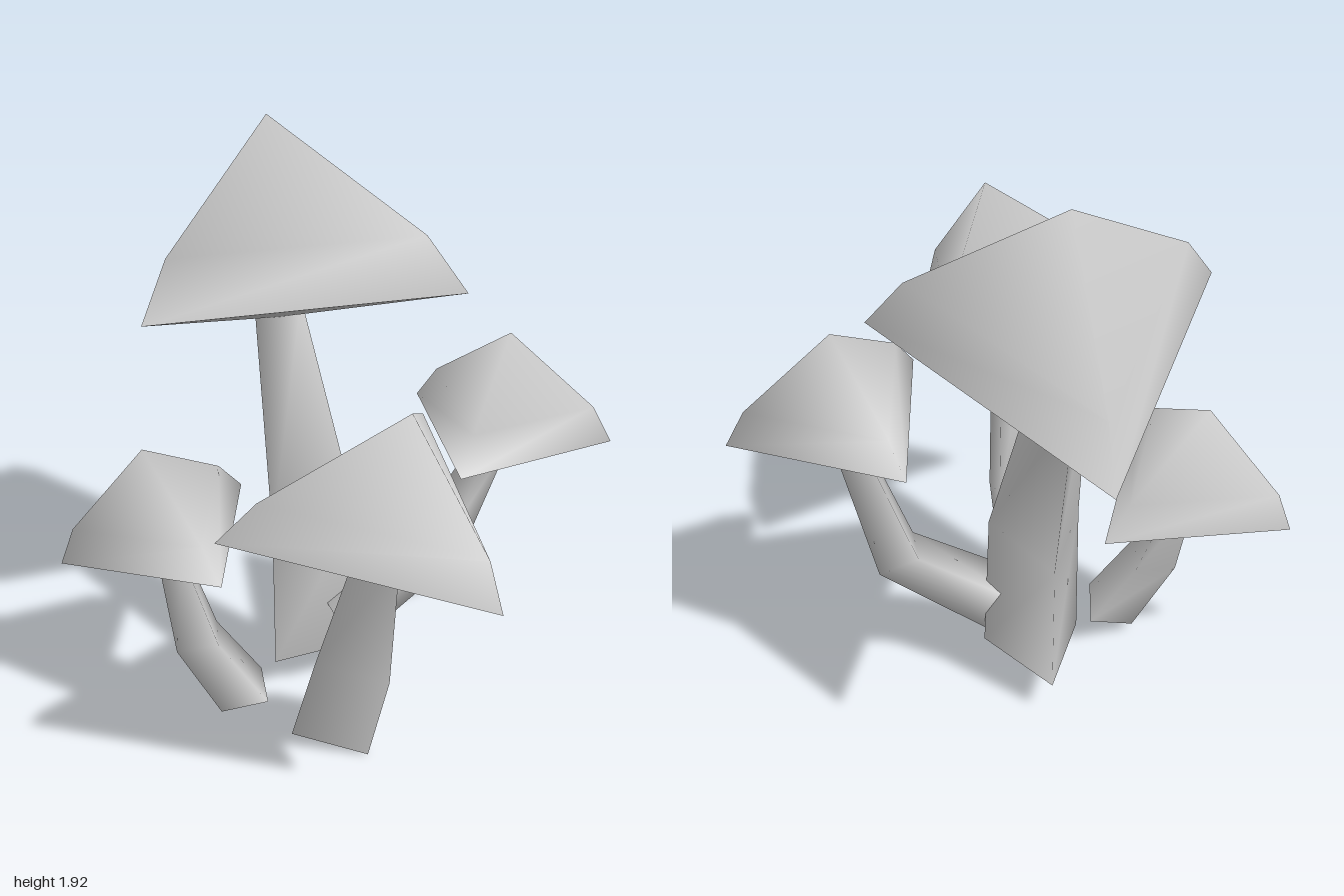
import * as THREE from 'three';

const V = (p) => new THREE.Vector3(...p);
const material = new THREE.MeshStandardMaterial({ color: 0xcccccc });

// Smooth skin over a stack of rings, listed upward; a ring may be a single point
function skin(name, rings) {
  const positions = [], index = [], starts = [];
  for (const ring of rings) {
    starts.push(positions.length / 3);
    ring.forEach((p) => positions.push(p.x, p.y, p.z));
  }
  for (let r = 0; r + 1 < rings.length; r++) {
    const low = (i) => starts[r] + (i % rings[r].length);
    const high = (i) => starts[r + 1] + (i % rings[r + 1].length);
    for (let i = 0; i < 3; i++) {
      if (rings[r].length > 1) index.push(low(i), low(i + 1), high(i + 1));
      if (rings[r + 1].length > 1) index.push(low(i), high(i + 1), high(i));
    }
  }
  const geometry = new THREE.BufferGeometry();
  geometry.setAttribute('position', new THREE.Float32BufferAttribute(positions, 3));
  geometry.setIndex(index);
  geometry.computeVertexNormals();
  const mesh = new THREE.Mesh(geometry, material);
  mesh.name = name;
  return mesh;
}

const centreOf = (ring) =>
  ring.reduce((sum, p) => sum.add(p), new THREE.Vector3()).divideScalar(ring.length);

// Three-cornered cap: rim, shoulder and tip, with a shallow cone underneath
function cap(corners, tip) {
  const rim = corners.map(V), apex = V(tip);
  const centre = centreOf(rim);
  const axis = apex.clone().sub(centre);
  const shoulder = rim.map((p) => p.clone().lerp(centre, 0.2).addScaledVector(axis, 0.33));
  const under = centre.clone().addScaledVector(axis, -0.18);
  const group = new THREE.Group();
  group.name = 'cap';
  group.add(skin('capTop', [rim, shoulder, [apex]]), skin('capUnderside', [[under], rim]));
  return group;
}

// Three-sided bent stem; "ridge" points from the centre line to one edge
function stem(path, radii, ridge) {
  const points = path.map(V);
  const rings = points.map((p, k) => {
    const before = points[Math.max(k - 1, 0)], after = points[Math.min(k + 1, 2)];
    const n = new THREE.Vector3();
    if (k > 0) n.add(p.clone().sub(before).normalize());
    if (k < 2) n.add(after.clone().sub(p).normalize());
    n.normalize();
    const u = V(ridge).projectOnPlane(n).normalize();
    return [0, 1, 2].map((i) =>
      u.clone().applyAxisAngle(n, (i * Math.PI * 2) / 3).multiplyScalar(radii[k]).add(p));
  });
  const group = new THREE.Group();
  group.name = 'stem';
  group.add(
    skin('stemSides', rings),
    skin('stemBase', [[centreOf(rings[0])], rings[0]]),
    skin('stemTop', [rings[2], [centreOf(rings[2])]]),
  );
  return group;
}

const mushrooms = [
  {
    name: 'tallBackMushroom',
    corners: [[-0.06, 1.29, -1], [-0.63, 1.46, -0.13], [0.45, 1.4, -0.07]],
    tip: [-0.06, 1.93, -0.52],
    path: [[-0.07, 0.13, -0.19], [-0.07, 0.62, -0.21], [-0.08, 1.31, -0.44]],
    radii: [0.187, 0.175, 0.095],
    ridge: [0, 0, -1],
  },
  {
    name: 'frontMushroom',
    corners: [[-0.64, 1.05, 0.5], [0.04, 0.92, 0.99], [0.16, 1.09, 0.19]],
    tip: [-0.11, 1.45, 0.69],
    path: [[-0.15, 0.057, 0.22], [-0.13, 0.42, 0.355], [-0.155, 0.97, 0.585]],
    radii: [0.15, 0.14, 0.075],
    ridge: [0.08, 0.03, -0.12],
  },
  {
    name: 'leftMushroom',
    corners: [[0.38, 0.95, -0.29], [0.22, 0.99, 0.36], [0.88, 0.88, 0.16]],
    tip: [0.54, 1.3, 0.06],
    path: [[0, 0.26, -0.07], [0.35, 0.49, -0.04], [0.5, 0.93, 0.06]],
    radii: [0.13, 0.105, 0.06],
    ridge: [0.1, -0.09, 0],
  },
  {
    name: 'rightMushroom',
    corners: [[-0.89, 0.57, -0.32], [-0.53, 0.71, 0.23], [-0.23, 0.68, -0.39]],
    tip: [-0.63, 1.0, -0.2],
    path: [[-0.36, 0.1, -0.005], [-0.5, 0.33, -0.05], [-0.56, 0.63, -0.14]],
    radii: [0.117, 0.1, 0.057],
    ridge: [-0.1, -0.06, -0.025],
  },
];

export function createModel() {
  const model = new THREE.Group();
  model.name = 'mushroomCluster';
  for (const m of mushrooms) {
    const group = new THREE.Group();
    group.name = m.name;
    group.add(cap(m.corners, m.tip), stem(m.path, m.radii, m.ridge));
    model.add(group);
  }
  return model;
}
